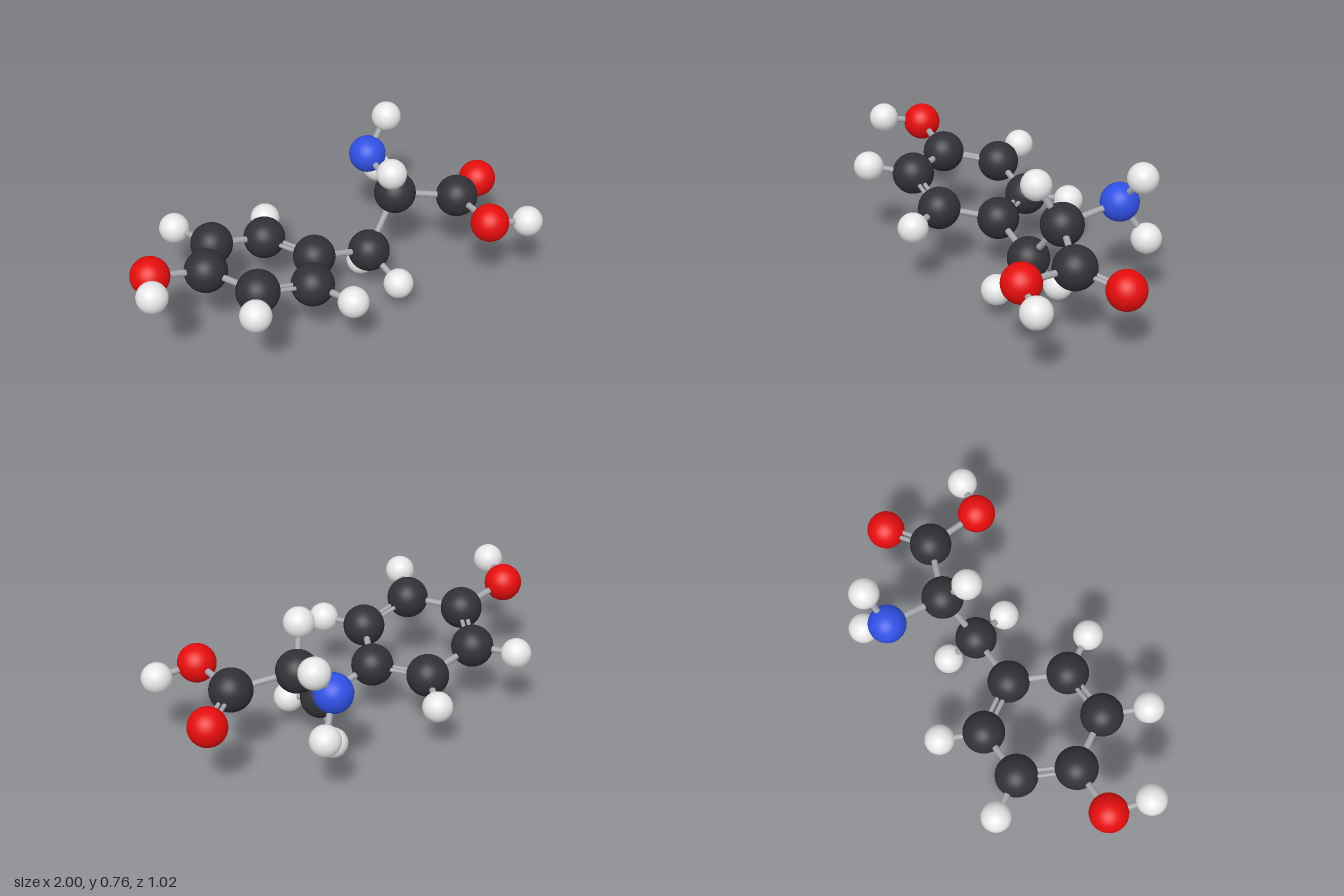
import * as THREE from 'three';

const mat = (name, color) => {
  const m = new THREE.MeshStandardMaterial({ color });
  m.name = name;
  return m;
};

export function createModel() {
  const group = new THREE.Group();
  const bondGrey = mat('bond grey', 0xa4a4ac);

  // Kinds of ball: radius and colour
  const kinds = {
    carbon: [0.1, mat('charcoal', 0x303036)],
    oxygen: [0.09, mat('red', 0xe60d0d)],
    nitrogen: [0.09, mat('blue', 0x3050e4)],
    hydrogen: [0.071, mat('pale grey', 0xe8e8e8)],
  };

  // Ball centres
  const atoms = {
    ring1: ['carbon', -0.05, 0.31, 0.005],
    ring2: ['carbon', -0.185, 0.313, -0.237],
    ring3: ['carbon', -0.457, 0.375, -0.248],
    ring4: ['carbon', -0.6, 0.43, -0.016],
    ring5: ['carbon', -0.467, 0.43, 0.23],
    ring6: ['carbon', -0.195, 0.366, 0.242],
    hydroxylOxygen: ['oxygen', -0.86, 0.49, -0.038],
    hydroxylHydrogen: ['hydrogen', -0.93, 0.528, 0.143],
    ringHydrogen2: ['hydrogen', -0.083, 0.274, -0.42],
    ringHydrogen3: ['hydrogen', -0.56, 0.382, -0.438],
    ringHydrogen5: ['hydrogen', -0.575, 0.471, 0.414],
    ringHydrogen6: ['hydrogen', -0.098, 0.361, 0.436],
    chainLow: ['carbon', 0.243, 0.242, 0.024],
    chainLowHydrogenA: ['hydrogen', 0.286, 0.075, -0.114],
    chainLowHydrogenB: ['hydrogen', 0.286, 0.159, 0.224],
    chainHigh: ['carbon', 0.421, 0.483, -0.036],
    chainHighHydrogen: ['hydrogen', 0.34, 0.667, 0.051],
    amine: ['nitrogen', 0.448, 0.526, -0.329],
    amineHydrogenA: ['hydrogen', 0.57, 0.689, -0.358],
    amineHydrogenB: ['hydrogen', 0.556, 0.366, -0.406],
    acidCarbon: ['carbon', 0.698, 0.438, 0.086],
    acidOxygenA: ['oxygen', 0.907, 0.395, -0.034],
    acidOxygenB: ['oxygen', 0.697, 0.449, 0.357],
    acidHydrogen: ['hydrogen', 0.884, 0.42, 0.405],
  };
  const at = (n) => new THREE.Vector3(...atoms[n].slice(1));

  // Balls
  const ballGeometry = {};
  for (const kind in kinds) ballGeometry[kind] = new THREE.SphereGeometry(kinds[kind][0], 40, 28);
  for (const name in atoms) {
    const kind = atoms[name][0];
    const ball = new THREE.Mesh(ballGeometry[kind], kinds[kind][1]);
    ball.name = name;
    ball.position.copy(at(name));
    group.add(ball);
  }

  // Rod between two points
  const up = new THREE.Vector3(0, 1, 0);
  function rod(a, b, radius, name) {
    const dir = b.clone().sub(a);
    const mesh = new THREE.Mesh(new THREE.CylinderGeometry(radius, radius, dir.length(), 16), bondGrey);
    mesh.name = name;
    mesh.position.copy(a).add(b).multiplyScalar(0.5);
    mesh.quaternion.setFromUnitVectors(up, dir.normalize());
    group.add(mesh);
  }

  // Single bonds
  const singles = [
    ['ring2', 'ring3'], ['ring4', 'ring5'], ['ring6', 'ring1'],
    ['ring4', 'hydroxylOxygen'], ['hydroxylOxygen', 'hydroxylHydrogen'],
    ['ring2', 'ringHydrogen2'], ['ring3', 'ringHydrogen3'],
    ['ring5', 'ringHydrogen5'], ['ring6', 'ringHydrogen6'],
    ['ring1', 'chainLow'], ['chainLow', 'chainLowHydrogenA'], ['chainLow', 'chainLowHydrogenB'],
    ['chainLow', 'chainHigh'], ['chainHigh', 'chainHighHydrogen'], ['chainHigh', 'amine'],
    ['amine', 'amineHydrogenA'], ['amine', 'amineHydrogenB'],
    ['chainHigh', 'acidCarbon'], ['acidCarbon', 'acidOxygenB'], ['acidOxygenB', 'acidHydrogen'],
  ];
  for (const [a, b] of singles) rod(at(a), at(b), 0.015, 'singleBond');

  // Double bonds: two thin rods side by side
  const doubles = [
    ['ring1', 'ring2'], ['ring3', 'ring4'], ['ring5', 'ring6'], ['acidCarbon', 'acidOxygenA'],
  ];
  for (const [a, b] of doubles) {
    const p = at(a), q = at(b);
    const side = q.clone().sub(p).cross(up).setLength(0.014);
    for (const s of [-1, 1]) {
      const shift = side.clone().multiplyScalar(s);
      rod(p.clone().add(shift), q.clone().add(shift), 0.01, 'doubleBond');
    }
  }
  return group;
}
